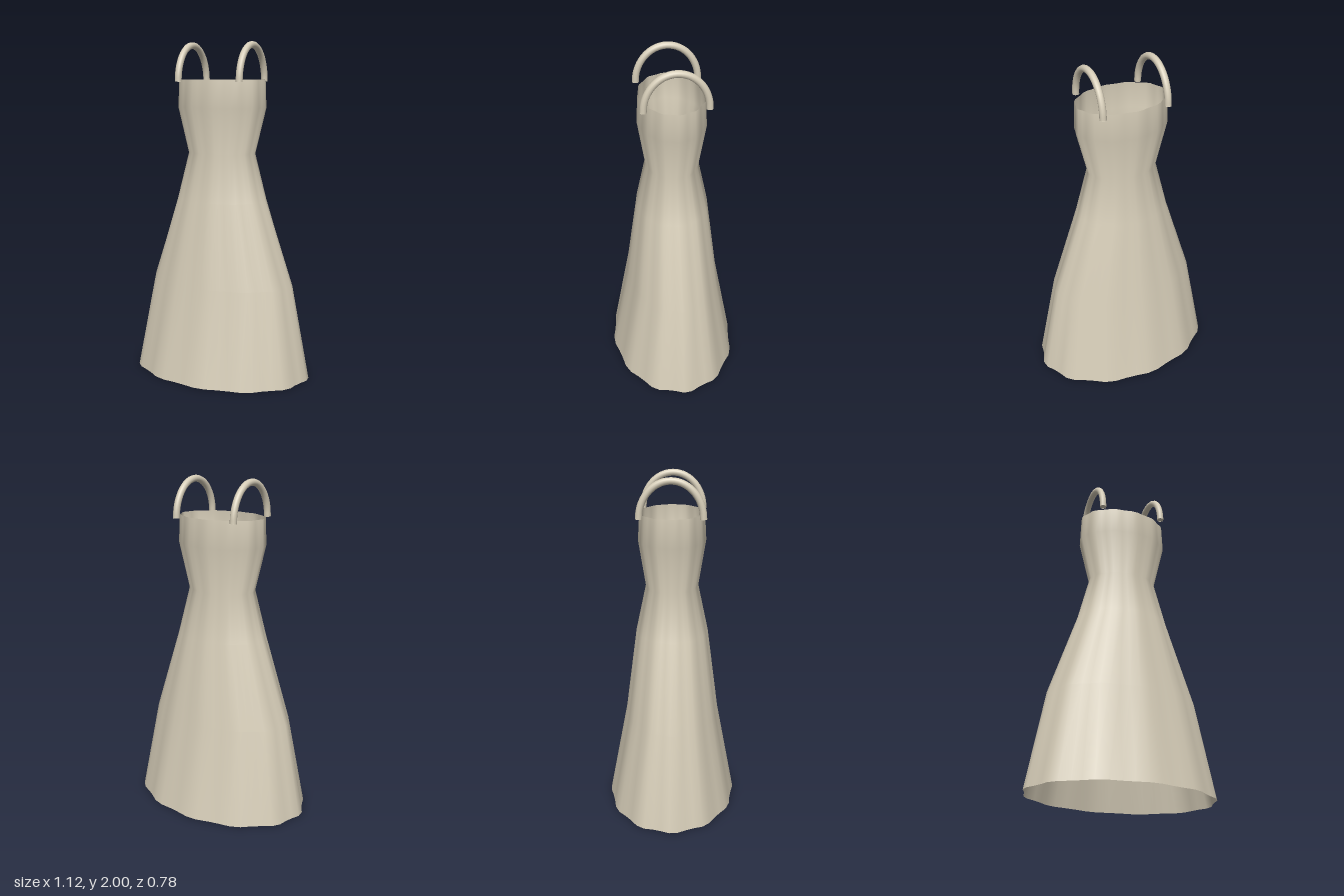
import * as THREE from 'three';
import { mergeVertices } from 'three/addons/utils/BufferGeometryUtils.js';

const fabric = new THREE.MeshStandardMaterial({ color: 0xd6cdb8, side: THREE.DoubleSide });
fabric.name = 'cream fabric';

// Height, half width and half depth of each ring of the gown
const RINGS = [
  [0.005, 0.554, 0.384], [0.57, 0.447, 0.277], [1.07, 0.279, 0.212],
  [1.35, 0.208, 0.153], [1.62, 0.274, 0.196], [1.78, 0.268, 0.187],
];

// Open oval tube with twelve soft vertical folds
function gownGeometry() {
  const sides = 48, folds = 12, phase = 0.06;
  const g = new THREE.CylinderGeometry(1, 1, 1, sides, RINGS.length - 1, true);
  const p = g.attributes.position;
  for (let i = 0; i < p.count; i++) {
    const ring = RINGS.length - 1 - Math.floor(i / (sides + 1));
    const [y, rx, rz] = RINGS[ring];
    const a = ((i % (sides + 1)) % sides) / sides * Math.PI * 2;
    const r = 1 + 0.02 * Math.cos(folds * (a - phase));
    p.setXYZ(i, Math.sin(a) * rx * r, y, Math.cos(a) * rz * r);
  }
  // Weld the seam so the shading runs smoothly round
  g.deleteAttribute('uv');
  g.deleteAttribute('normal');
  const welded = mergeVertices(g);
  welded.computeVertexNormals();
  return welded;
}

// Arched strap from front to back over the shoulder, with closed ends
function makeStrap(x, name) {
  const strap = new THREE.Group();
  strap.name = name;
  const radius = 0.02, base = 1.77;
  const points = [];
  for (let i = 0; i <= 16; i++) {
    const a = i / 16 * Math.PI;
    points.push(new THREE.Vector3(0, base + 0.21 * Math.sin(a), 0.18 * Math.cos(a)));
  }
  const curve = new THREE.CatmullRomCurve3(points);
  const arch = new THREE.Mesh(new THREE.TubeGeometry(curve, 32, radius, 12), fabric);
  arch.name = 'strapArch';
  strap.add(arch);
  for (const z of [-0.18, 0.18]) {
    const end = new THREE.Mesh(new THREE.CircleGeometry(radius, 12), fabric);
    end.name = 'strapEnd';
    end.rotation.x = Math.PI / 2;
    end.position.set(0, base, z);
    strap.add(end);
  }
  strap.position.x = x;
  return strap;
}

export function createModel() {
  const model = new THREE.Group();
  model.name = 'dress';
  const gown = new THREE.Mesh(gownGeometry(), fabric);
  gown.name = 'gown';
  model.add(gown, makeStrap(0.195, 'leftStrap'), makeStrap(-0.195, 'rightStrap'));
  return model;
}
